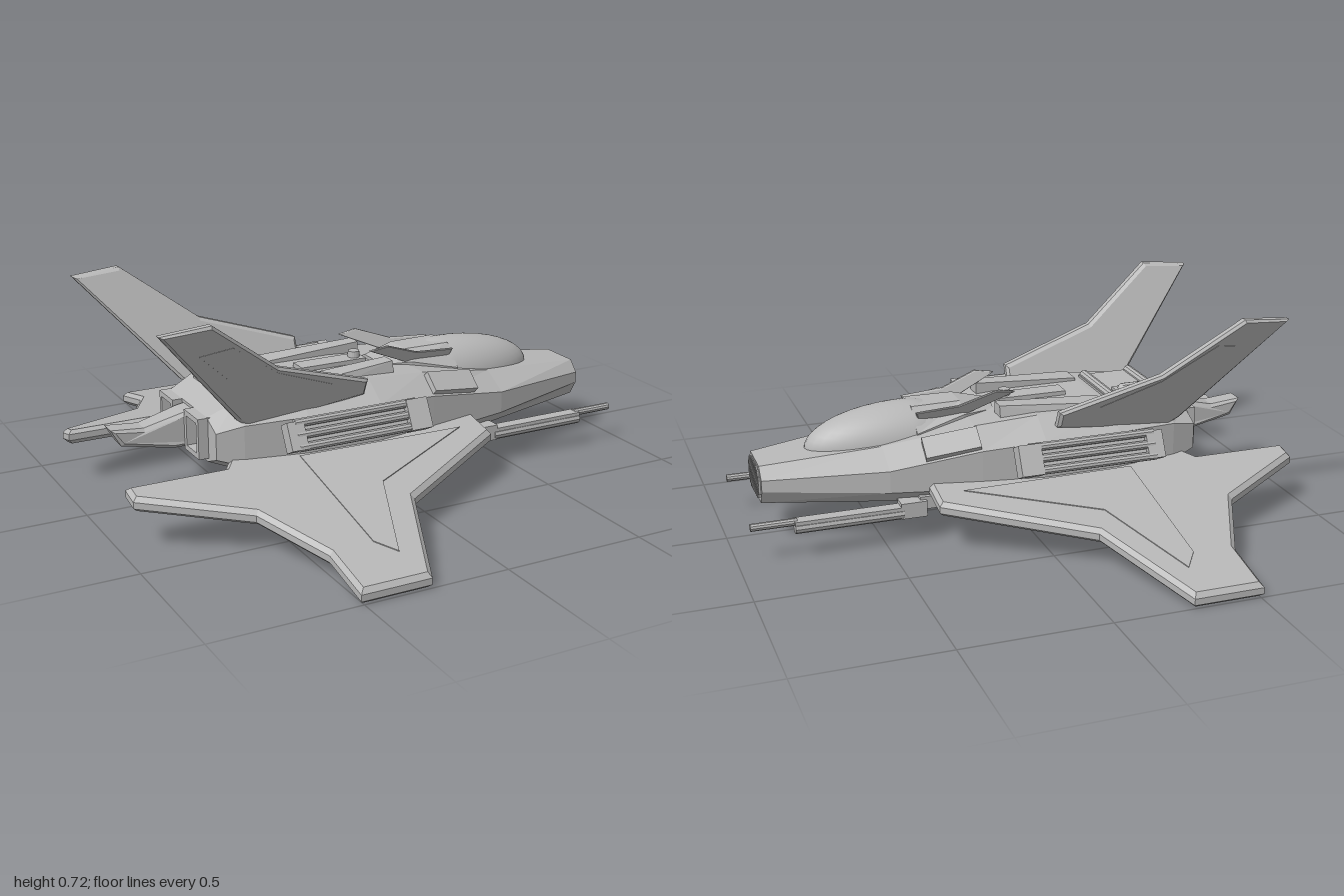
import * as THREE from 'three';
import { mergeGeometries } from 'three/addons/utils/BufferGeometryUtils.js';

const hullGrey = new THREE.MeshStandardMaterial({ color: 0xb8b8b8 });
hullGrey.name = 'hullGrey';

// Flat-shaded copy with one vertex set per face
function flat(geo) {
  const g = geo.index ? geo.toNonIndexed() : geo;
  g.deleteAttribute('uv');
  g.computeVertexNormals();
  return g;
}

// Moves every vertex by a rule; flip reverses the faces when the rule mirrors
function warp(geo, rule, flip = false) {
  const g = flat(geo.clone());
  const p = g.attributes.position;
  const v = [];
  for (let i = 0; i < p.count; i++) v.push(rule(p.getX(i), p.getY(i), p.getZ(i)));
  for (let i = 0; i < p.count; i += 3) {
    const order = flip ? [0, 2, 1] : [0, 1, 2];
    order.forEach((k, n) => p.setXYZ(i + n, ...v[i + k]));
  }
  g.computeVertexNormals();
  return g;
}
const mirrorZ = (geo) => warp(geo, (x, y, z) => [x, y, -z], true);

const box = (x0, x1, y0, y1, z0, z1) =>
  flat(new THREE.BoxGeometry(x1 - x0, y1 - y0, z1 - z0)
    .translate((x0 + x1) / 2, (y0 + y1) / 2, (z0 + z1) / 2));

const rod = (x0, x1, y, z, r, sides = 10) =>
  flat(new THREE.CylinderGeometry(r, r, x1 - x0, sides).rotateZ(-Math.PI / 2)
    .translate((x0 + x1) / 2, y, z));

// Chamfered slab centred on its own thickness
function slab(points, thickness, bevel) {
  const shape = new THREE.Shape(points.map((p) => new THREE.Vector2(...p)));
  const depth = thickness - 2 * bevel;
  const g = new THREE.ExtrudeGeometry(shape, {
    depth, bevelEnabled: bevel > 0, bevelSegments: 1,
    bevelThickness: bevel, bevelSize: bevel, bevelOffset: -bevel,
  });
  return flat(g.translate(0, 0, -depth / 2));
}

// Eight-sided sections [x, topZ, topY, sideZ, sideHigh, sideLow, bottomZ, bottomY]
function loft(sections) {
  const rings = sections.map(([x, zt, yt, zs, yh, yl, zb, yb]) => {
    const half = [[zt, yt], [zs, yh], [zs, yl], [zb, yb]];
    return [...half, ...half.map(([z, y]) => [-z, y]).reverse()].map(([z, y]) => [x, y, z]);
  });
  const pos = [];
  const n = 8;
  for (let i = 0; i < rings.length - 1; i++) {
    for (let j = 0; j < n; j++) {
      const a = rings[i][j], b = rings[i][(j + 1) % n];
      const c = rings[i + 1][(j + 1) % n], d = rings[i + 1][j];
      pos.push(...a, ...b, ...d, ...b, ...c, ...d);
    }
  }
  const back = rings[0], front = rings[rings.length - 1];
  for (let j = 1; j < n - 1; j++) {
    pos.push(...front[0], ...front[j], ...front[j + 1]);
    pos.push(...back[0], ...back[j + 1], ...back[j]);
  }
  const g = new THREE.BufferGeometry();
  g.setAttribute('position', new THREE.Float32BufferAttribute(pos, 3));
  g.computeVertexNormals();
  return g;
}

export function createModel() {
  const model = new THREE.Group();
  model.name = 'starfighter';
  const add = (name, geo) => {
    const mesh = new THREE.Mesh(geo, hullGrey);
    mesh.name = name;
    model.add(mesh);
  };
  const addPair = (name, geo) => {
    add(name + 'Left', geo);
    add(name + 'Right', mirrorZ(geo));
  };

  // Fuselage, tail end to nose
  add('fuselage', loft([
    [-0.63, 0.16, 0.335, 0.235, 0.30, 0.21, 0.16, 0.18],
    [-0.54, 0.18, 0.375, 0.26, 0.32, 0.18, 0.20, 0.15],
    [-0.32, 0.20, 0.39, 0.29, 0.325, 0.17, 0.24, 0.10],
    [-0.05, 0.20, 0.39, 0.295, 0.325, 0.17, 0.24, 0.095],
    [0.17, 0.19, 0.375, 0.27, 0.31, 0.175, 0.21, 0.112],
    [0.48, 0.13, 0.318, 0.225, 0.262, 0.185, 0.17, 0.135],
    [0.89, 0.075, 0.28, 0.11, 0.24, 0.20, 0.08, 0.15],
  ]));

  // Nose grille slats
  const slats = [];
  for (let i = -5; i <= 5; i++) {
    const z = i * 0.017, drop = Math.max(0, Math.abs(z) - 0.06);
    slats.push(box(0.885, 0.897, 0.16 + drop, 0.272 - drop, z - 0.005, z + 0.005));
  }
  add('noseGrille', mergeGeometries(slats));

  // Smooth canopy with a longer front and a tapered spine behind it
  const canopy = new THREE.SphereGeometry(1, 40, 24);
  const cp = canopy.attributes.position;
  for (let i = 0; i < cp.count; i++) {
    const x = cp.getX(i), y = cp.getY(i);
    cp.setXYZ(i, 0.36 + x * (x > 0 ? 0.36 : 0.2), 0.29 + y * (y > 0 ? 0.137 : 0.04), cp.getZ(i) * 0.13);
  }
  canopy.computeVertexNormals();
  add('canopy', canopy);
  add('canopyFairing', loft([
    [0.06, 0.03, 0.395, 0.06, 0.38, 0.36, 0.06, 0.34],
    [0.18, 0.05, 0.42, 0.10, 0.385, 0.35, 0.10, 0.32],
    [0.355, 0.055, 0.42, 0.128, 0.345, 0.31, 0.128, 0.29],
  ]));
  addPair('canopyStrake', warp(
    slab([[0.0, 0.455], [0.07, 0.466], [0.20, 0.42], [0.35, 0.41], [0.33, 0.35], [0.19, 0.372]], 0.014, 0.003),
    (x, y, t) => [x, y, t + 0.085 + 0.45 * (y - 0.39)]));

  // Dorsal humps and centre spine
  addPair('dorsalHump', warp(box(-0.31, 0.07, 0.35, 0.422, 0.1, 0.2), (x, y, z) => [
    x, x < 0 && y > 0.4 ? 0.40 : y, z > 0.15 ? (x > 0 ? 0.17 : 0.2) - (y > 0.38 ? 0.015 : 0) : z]));
  add('spine', box(-0.22, 0.03, 0.37, 0.405, -0.036, 0.036));
  add('spineCap', flat(new THREE.CylinderGeometry(0.02, 0.022, 0.03, 16).translate(0, 0.412, 0)));

  // Engine hatch on the rear deck
  add('engineHatch', mergeGeometries([
    box(-0.55, -0.34, 0.35, 0.396, -0.14, 0.14),
    box(-0.52, -0.39, 0.38, 0.406, -0.105, -0.05),
    ...[-0.535, -0.36].map((x) => flat(new THREE.CylinderGeometry(0.018, 0.018, 0.27, 10)
      .rotateX(Math.PI / 2).translate(x, 0.396, 0))),
  ]));
  add('hatchCap', flat(new THREE.CapsuleGeometry(0.022, 0.06, 4, 10)
    .rotateZ(Math.PI / 2).translate(-0.455, 0.402, -0.078)));

  // Open exhaust frames and tail boom
  const ring = new THREE.Shape([[0.05, 0.195], [0.17, 0.195], [0.17, 0.335], [0.05, 0.335]]
    .map((p) => new THREE.Vector2(...p)));
  ring.holes.push(new THREE.Path([[0.068, 0.213], [0.068, 0.317], [0.152, 0.317], [0.152, 0.213]]
    .map((p) => new THREE.Vector2(...p))));
  addPair('exhaustFrame', warp(new THREE.ExtrudeGeometry(ring, { depth: 0.05, bevelEnabled: false }),
    (z, y, t) => [t - 0.665, y, z], true));
  add('tailBoom', warp(
    slab([[-0.915, 0.295], [-0.88, 0.235], [-0.70, 0.2], [-0.60, 0.2], [-0.60, 0.33], [-0.66, 0.32], [-0.80, 0.285]], 0.1, 0.012),
    (x, y, z) => [x, y, z * (x < -0.78 ? 0.8 : 1)]));

  // Drooping wings with a thin raised panel
  const droop = (lift) => (x, s, t) => [x, 0.18 + lift + t - 0.21 * (s - 0.26), s];
  addPair('wing', warp(slab([
    [0.35, 0.22], [0.35, 0.36], [-0.11, 0.62], [-0.27, 1], [-0.51, 1], [-0.51, 0.8],
    [-0.63, 0.54], [-0.96, 0.35], [-0.96, 0.28], [-0.62, 0.28], [-0.56, 0.2],
  ], 0.05, 0.014), droop(0), true));
  addPair('wingPanel', warp(slab([
    [-0.36, 0.3], [0.25, 0.31], [-0.17, 0.52], [-0.31, 0.87], [-0.36, 0.8],
  ], 0.006, 0), droop(0.025), true));

  // Canted tail fins with a thin panel on the outer face
  const cant = (out) => (x, y, t) => [x, y, t + 0.255 + out + 0.44 * (y - 0.37)];
  addPair('tailFin', warp(slab([
    [-0.88, 0.71], [-0.71, 0.725], [-0.45, 0.53], [-0.1, 0.42], [-0.1, 0.36], [-0.5, 0.30], [-0.56, 0.34],
  ], 0.042, 0.01), cant(0)));
  addPair('tailFinPanel', warp(slab([
    [-0.74, 0.62], [-0.63, 0.635], [-0.45, 0.51], [-0.24, 0.43], [-0.5, 0.40],
  ], 0.006, 0), cant(0.02)));

  // Side pods: rails between end blocks, tilted inward at the top
  const pod = mergeGeometries([
    box(-0.44, -0.38, -0.05, 0.045, -0.025, 0.025),
    box(0.0, 0.08, -0.055, 0.05, -0.028, 0.028),
    box(-0.40, 0.02, -0.045, 0.045, -0.02, 0.005),
    ...[-0.04, 0, 0.04].map((y) => rod(-0.41, 0.04, y, 0.012, 0.015)),
    box(-0.36, -0.30, -0.02, 0.02, -0.1, 0),
    box(-0.08, -0.02, -0.02, 0.02, -0.1, 0),
  ]);
  addPair('sidePod', pod.rotateX(-0.48).translate(0, 0.298, 0.367));

  // Shoulder boxes beside the cockpit
  addPair('shoulderBox', flat(new THREE.BoxGeometry(0.19, 0.03, 0.08)
    .rotateX(0.7).rotateY(0.12).rotateZ(-0.14).translate(0.265, 0.333, 0.225)));

  // Under-nose cannons
  addPair('cannon', mergeGeometries([
    box(0.36, 0.45, 0.095, 0.15, 0.195, 0.25),
    rod(0.44, 0.81, 0.112, 0.235, 0.02),
    box(0.44, 0.81, 0.115, 0.137, 0.205, 0.25),
    rod(0.80, 0.955, 0.13, 0.225, 0.013),
    box(0.2, 0.38, 0.115, 0.16, 0.17, 0.235),
  ]));

  // Belly plate
  add('bellyPlate', box(-0.28, 0.02, 0.088, 0.11, -0.2, 0.2));
  return model;
}
